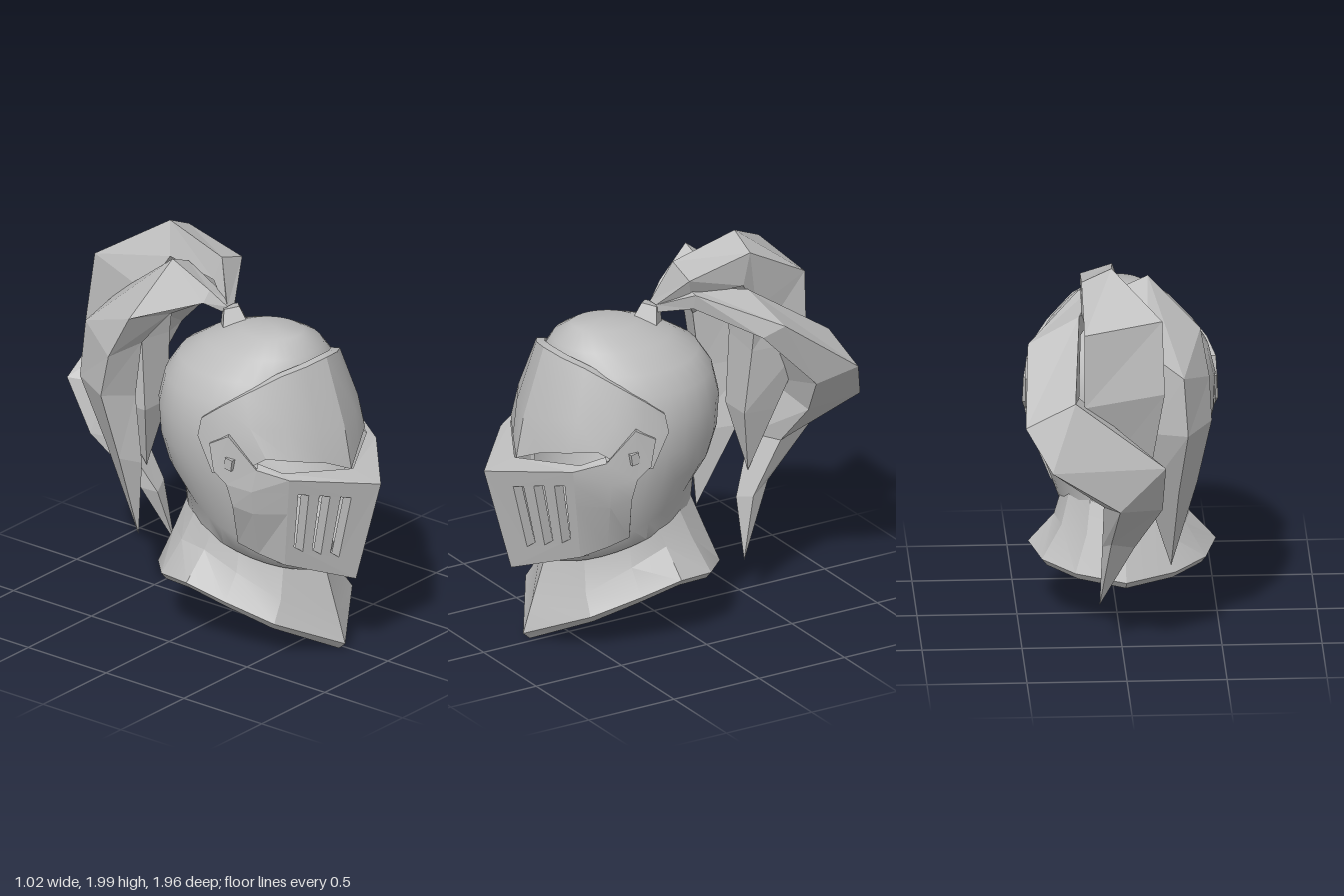
import * as THREE from 'three';
import { toCreasedNormals } from 'three/addons/utils/BufferGeometryUtils.js';

const steel = new THREE.MeshStandardMaterial({ color: 0xbcbcbc, side: THREE.DoubleSide });
steel.name = 'steel';

const lerp = THREE.MathUtils.lerp;
const mix = (a, b, t) => a.map((v, k) => lerp(v, b[k], t));
const flip = ([x, y, z]) => [-x, y, z];
// half grid (columns from centre front to the left side) -> full symmetric grid
const symmetric = half => [...half.slice(1).reverse().map(c => c.map(flip)), ...half];

function fromQuads(quads, crease) {
  const pos = [];
  for (const [a, b, c, d] of quads) pos.push(...a, ...b, ...c, ...a, ...c, ...d);
  const geo = new THREE.BufferGeometry();
  geo.setAttribute('position', new THREE.Float32BufferAttribute(pos, 3));
  geo.computeVertexNormals();
  return crease ? toCreasedNormals(geo, crease) : geo;
}

// plate from a grid of points: columns run rightwards, rows run downwards
function plate(grid, thickness, crease, skip = () => false) {
  const inner = grid.map(col => col.map(([x, y, z]) => {
    const dz = z - 0.1, k = 1 - thickness / Math.hypot(x, dz);
    return [x * k, y, 0.1 + dz * k];
  }));
  const quads = [], n = grid.length - 1, m = grid[0].length - 1;
  for (let i = 0; i < n; i++) for (let j = 0; j < m; j++) {
    if (skip(i, j)) continue;
    const cell = g => [g[i][j], g[i][j + 1], g[i + 1][j + 1], g[i + 1][j]];
    quads.push(cell(grid));
    if (thickness) quads.push(cell(inner).reverse());
  }
  if (thickness) {
    for (let i = 0; i < n; i++) {
      quads.push([grid[i][0], grid[i + 1][0], inner[i + 1][0], inner[i][0]]);
      quads.push([grid[i + 1][m], grid[i][m], inner[i][m], inner[i + 1][m]]);
    }
    for (let j = 0; j < m; j++) {
      quads.push([grid[0][j + 1], grid[0][j], inner[0][j], inner[0][j + 1]]);
      quads.push([grid[n][j], grid[n][j + 1], inner[n][j + 1], inner[n][j]]);
    }
  }
  return fromQuads(quads, crease);
}

// reflected copy with corner order kept outward
function mirrored(geo) {
  const p = (geo.index ? geo.toNonIndexed() : geo).attributes.position, pos = [];
  for (let i = 0; i < p.count; i += 3)
    for (const k of [i + 2, i + 1, i]) pos.push(-p.getX(k), p.getY(k), p.getZ(k));
  const out = new THREE.BufferGeometry();
  out.setAttribute('position', new THREE.Float32BufferAttribute(pos, 3));
  out.computeVertexNormals();
  return out;
}

function add(parent, name, geo) {
  const mesh = new THREE.Mesh(geo, steel);
  mesh.name = name;
  parent.add(mesh);
  return mesh;
}

function addPair(parent, name, geo) {
  add(parent, name + 'Left', geo);
  add(parent, name + 'Right', mirrored(geo));
}

// rounded skull, left open behind the visor, with a turned-in lower lip
function skull() {
  // back y, front y, half width, back z, front z
  const rows = [
    [1.65, 1.65, 0, 0.3, 0.3], [1.63, 1.645, 0.14, 0.1, 0.45], [1.56, 1.57, 0.27, -0.08, 0.54],
    [1.47, 1.47, 0.37, -0.22, 0.58], [1.37, 1.37, 0.435, -0.285, 0.6], [1.22, 1.22, 0.47, -0.32, 0.66],
    [1.06, 1.06, 0.465, -0.31, 0.68], [0.93, 0.85, 0.435, -0.27, 0.68], [0.82, 0.5, 0.35, -0.2, 0.66],
    [0.66, 0.44, 0.31, -0.195, 0.63], [0.65, 0.43, 0.27, -0.14, 0.58]];
  const n = 32, grid = [];
  for (let i = 0; i <= n; i++) {
    const a = (i / n * 2 - 1) * Math.PI, c = Math.cos(a);
    grid.push(rows.map(([yb, yf, w, zb, zf]) =>
      [Math.sin(a) * w, lerp(yb, yf, (1 + c) / 2), (zb + zf) / 2 + c * (zf - zb) / 2]));
  }
  const open = (i, j) => j >= 4 && j <= 7 && Math.abs(i + 0.5 - n / 2) < 5;
  return plate(grid, 0, 1, open);
}

// flared neck guard columns, from neck ring to hem
const neckColumns = [
  [[0, 0.44, 0.62], [0, 0.2, 0.7], [0, 0.045, 0.75]],
  [[0.19, 0.5, 0.51], [0.24, 0.3, 0.53], [0.31, 0.2, 0.545]],
  [[0.28, 0.57, 0.3], [0.32, 0.42, 0.31], [0.41, 0.29, 0.31]],
  [[0.3, 0.62, 0.15], [0.34, 0.5, 0.12], [0.47, 0.36, 0.11]],
  [[0.27, 0.65, 0], [0.31, 0.5, -0.05], [0.41, 0.335, -0.1]],
  [[0.17, 0.66, -0.13], [0.19, 0.5, -0.19], [0.25, 0.31, -0.25]],
  [[0, 0.66, -0.18], [0, 0.51, -0.24], [0, 0.285, -0.335]]];

function neckGuard() {
  // the hem is turned inwards and down to show its thickness
  const hemmed = neckColumns.map(col => {
    const [x, y, z] = col[2];
    return [...col, [x * 0.94, y - 0.035, 0.1 + (z - 0.1) * 0.94]];
  });
  return plate(symmetric(hemmed), 0.02, 0.4);
}

// forehead plate with a centre ridge
function browPlate() {
  const half = [
    [[0, 1.575, 0.63], [0, 1.235, 0.745], [0, 1.01, 0.79]],
    [[0.12, 1.555, 0.6], [0.15, 1.25, 0.695], [0.13, 1.07, 0.73]],
    [[0.23, 1.52, 0.53], [0.28, 1.27, 0.605], [0.28, 1.105, 0.65]],
    [[0.36, 1.43, 0.4], [0.395, 1.27, 0.46], [0.38, 1.125, 0.55]],
    [[0.435, 1.36, 0.3], [0.455, 1.2, 0.33], [0.455, 1.02, 0.4]],
    [[0.475, 1.29, 0.21], [0.48, 1.19, 0.19], [0.475, 1.01, 0.28]]];
  return plate(symmetric(half), 0.045, 0.5);
}

// corners of the flat visor cheek: top and bottom, front and side
const T0 = [0, 0.98, 0.98], T2 = [0.345, 1.03, 0.67], B0 = [0, 0.42, 0.82], B2 = [0.27, 0.52, 0.58];

// slotted visor face: a unit square with holes, bent onto the four corners
function visorFace() {
  const poly = pts => pts.map(([x, y]) => new THREE.Vector2(x, y));
  const shape = new THREE.Shape(poly([[0, 0], [1, 0], [1, 1], [0, 1]]));
  for (const u of [0.29, 0.53, 0.77])
    shape.holes.push(new THREE.Path(poly([[u, 0.19], [u, 0.84], [u + 0.12, 0.84], [u + 0.12, 0.23]])));
  const geo = new THREE.ExtrudeGeometry(shape, { depth: 1, bevelEnabled: false });
  const p = geo.attributes.position;
  for (let i = 0; i < p.count; i++) {
    const u = p.getX(i), [x, y, z] = mix(mix(B0, B2, u), mix(T0, T2, u), p.getY(i));
    p.setXYZ(i, x, y, z - 0.05 * (1 - p.getZ(i)));
  }
  geo.computeVertexNormals();
  return geo;
}

// faceted plume: four-cornered sections (left, right, then inner side) from root to tip
function plume(sections, tip) {
  const root = [[-0.04, 1.68, 0], [0.02, 1.68, 0], [0.02, 1.64, 0], [-0.04, 1.64, 0]];
  const rings = [root, ...sections, [tip, tip, tip, tip]], quads = [];
  for (let i = 0; i + 1 < rings.length; i++)
    for (let k = 0; k < 4; k++) {
      const l = (k + 1) % 4;
      quads.push([rings[i][k], rings[i][l], rings[i + 1][l], rings[i + 1][k]]);
    }
  return fromQuads(quads);
}

export function createModel() {
  const model = new THREE.Group();
  model.name = 'plumedHelmet';
  const helmet = new THREE.Group();
  helmet.name = 'helmet';
  helmet.position.x = -0.03;
  model.add(helmet);

  add(helmet, 'skull', skull());
  add(helmet, 'neckGuard', neckGuard());
  add(helmet, 'neckLining', plate(symmetric(neckColumns.map(c => [[0, 0.62, 0.2], c[0]])), 0, 1));
  add(helmet, 'browPlate', browPlate());

  // visor: slotted face, wrapped cheeks, hinge straps and top ledge
  const top1 = [0.42, 1.07, 0.52], top2 = [0.465, 1.23, 0.375], back2 = [0.475, 0.97, 0.37];
  addPair(helmet, 'visorFace', visorFace());
  addPair(helmet, 'visorCheek', plate([
    [T2, mix(T2, B2, 0.15), mix(T2, B2, 0.4), B2],
    [top1, [0.435, 0.95, 0.5], [0.41, 0.82, 0.49], [0.315, 0.56, 0.45]],
    [top2, back2, [0.45, 0.85, 0.39], [0.345, 0.6, 0.34]]], 0.035, 0.45));
  addPair(helmet, 'hingeStrap', plate([[top2, back2], [[0.485, 1.17, 0.27], [0.49, 1.03, 0.3]]], 0.035));
  add(helmet, 'visorLedge', plate(symmetric([
    [[0, 1.015, 0.8], T0], [[0.33, 1.05, 0.62], T2], [[0.385, 1.09, 0.5], top1]]), 0));
  addPair(helmet, 'hingeRivet', new THREE.BoxGeometry(0.04, 0.06, 0.045).rotateX(0.15).translate(0.46, 1.085, 0.385));

  // crown socket holding the plumes
  const socket = add(helmet, 'plumeSocket', new THREE.CylinderGeometry(0.055, 0.11, 0.14, 4).toNonIndexed());
  socket.geometry.computeVertexNormals();
  socket.position.set(0.01, 1.61, 0.025);
  socket.rotation.x = -0.25;

  // three plumes, each falling backwards to a point
  add(model, 'plumeMiddle', plume([
    [[0.03, 1.9, -0.09], [0.19, 1.85, -0.09], [0.15, 1.74, -0.12], [0, 1.78, -0.12]],
    [[0.05, 2, -0.44], [0.2, 1.93, -0.44], [0.2, 1.76, -0.4], [0, 1.83, -0.4]],
    [[-0.19, 1.82, -0.73], [0.2, 1.76, -0.76], [0.16, 1.6, -0.5], [-0.1, 1.65, -0.48]],
    [[-0.2, 1.45, -0.78], [0.2, 1.38, -0.77], [0.12, 1.35, -0.5], [-0.1, 1.38, -0.5]],
    [[-0.14, 1.03, -0.66], [0.1, 1, -0.65], [0.08, 1, -0.48], [-0.1, 1, -0.48]]], [0, 0.65, -0.55]));
  add(model, 'plumeLeft', plume([
    [[0.12, 1.79, -0.12], [0.2, 1.77, -0.12], [0.18, 1.69, -0.12], [0.08, 1.71, -0.14]],
    [[0.21, 1.74, -0.42], [0.47, 1.62, -0.48], [0.42, 1.56, -0.38], [0.2, 1.62, -0.36]],
    [[0.25, 1.44, -0.87], [0.5, 1.32, -0.89], [0.44, 1.25, -0.68], [0.22, 1.38, -0.62]],
    [[-0.2, 1.1, -0.9], [0.37, 1.11, -0.98], [0.3, 1.05, -0.72], [-0.1, 1.08, -0.72]],
    [[-0.19, 0.83, -0.76], [0.03, 0.88, -0.93], [0.1, 0.82, -0.68], [-0.1, 0.8, -0.62]],
    [[-0.06, 0.55, -0.54], [0.06, 0.6, -0.63], [0.1, 0.55, -0.52], [0, 0.52, -0.48]]], [0.11, 0.22, -0.46]));
  add(model, 'plumeRight', plume([
    [[-0.12, 1.7, -0.09], [-0.08, 1.76, -0.08], [0, 1.74, -0.09], [-0.06, 1.68, -0.12]],
    [[-0.4, 1.64, -0.34], [-0.14, 1.9, -0.27], [0, 1.84, -0.28], [-0.15, 1.6, -0.28]],
    [[-0.44, 1.42, -0.44], [-0.3, 1.5, -0.7], [-0.12, 1.62, -0.63], [-0.25, 1.45, -0.38]],
    [[-0.45, 1.2, -0.48], [-0.32, 1.2, -0.72], [-0.12, 1.2, -0.66], [-0.25, 1.15, -0.42]],
    [[-0.38, 0.85, -0.42], [-0.28, 0.85, -0.58], [-0.12, 0.85, -0.56], [-0.26, 0.8, -0.37]]], [-0.25, 0.4, -0.4]));
  return model;
}
